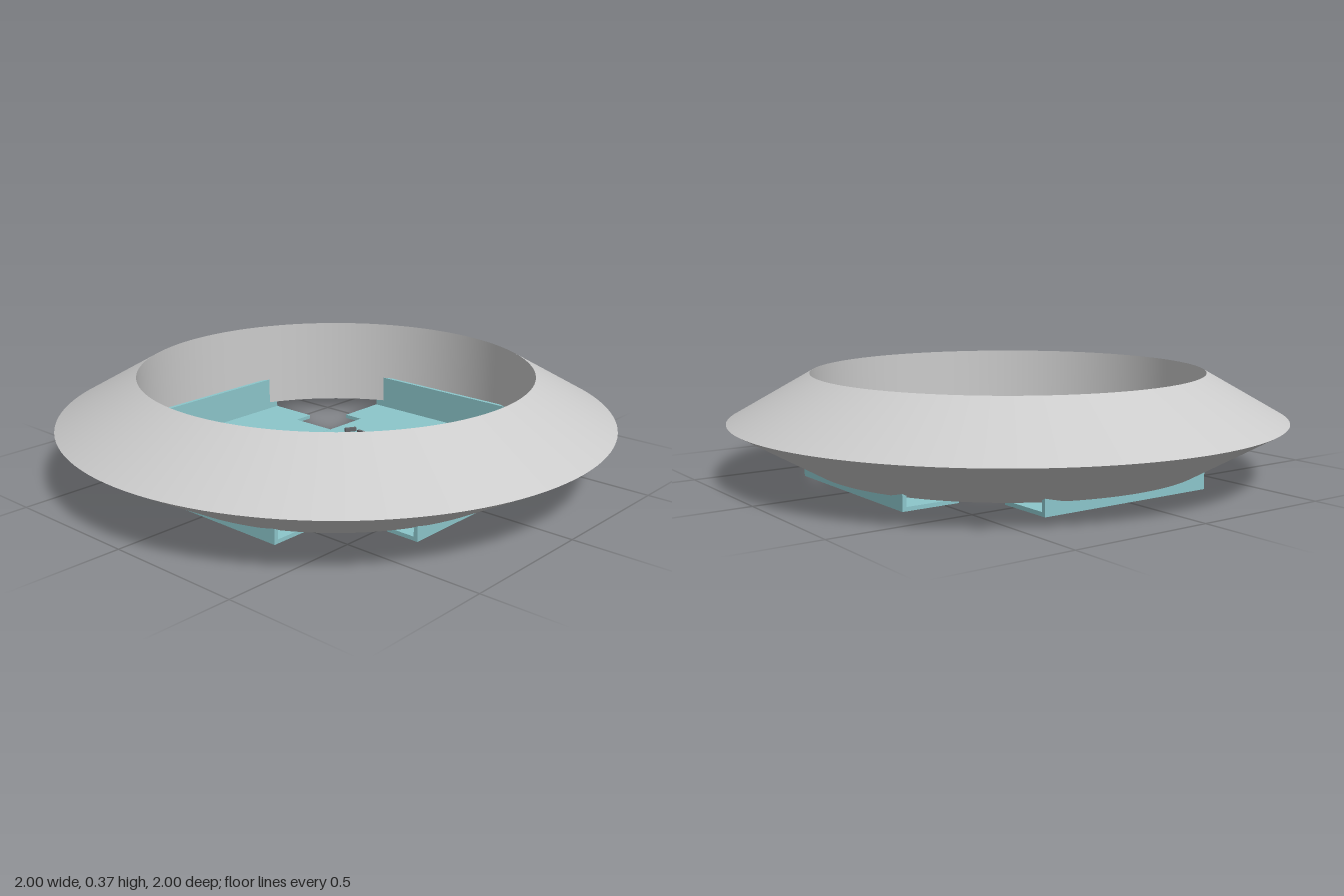
import * as THREE from 'three';

const mat = (color) => new THREE.MeshStandardMaterial({ color });
const GREY = mat(0xcccccc), TEAL = mat(0x8cc6cb), GOLD = mat(0xccb27e);
const GREEN = mat(0xa9c98f), DARK = mat(0x66666a), PINK = mat(0xd8a59c);
const ringMat = new THREE.MeshStandardMaterial({ color: 0xcccccc, side: THREE.DoubleSide });

const SLAB = 0.014; // floor thickness

function box(parent, name, material, [w, h, d], [x, y, z]) {
  const mesh = new THREE.Mesh(new THREE.BoxGeometry(w, h, d), material);
  mesh.name = name;
  mesh.position.set(x, y, z);
  parent.add(mesh);
  return mesh;
}

// Ring of triangular section; each face is its own lathe so the rims stay sharp
function createRing() {
  const ring = new THREE.Group();
  ring.name = 'outerRing';
  const corners = [[0.71, 0.04], [1, 0.205], [0.71, 0.37]];
  ['lowerCone', 'upperCone', 'innerWall'].forEach((name, i) => {
    const points = [corners[i], corners[(i + 1) % 3]].map(([r, y]) => new THREE.Vector2(r, y));
    const mesh = new THREE.Mesh(new THREE.LatheGeometry(points, 128), ringMat);
    mesh.name = name;
    ring.add(mesh);
  });
  return ring;
}

// T-shaped floor with an end wall and a low inner lip, built towards +z
function createBay(name, pronged) {
  const bay = new THREE.Group();
  bay.name = name;
  const half = pronged
    ? [[0.34, 0.655], [0.34, 0.445], [0.26, 0.445], [0.26, 0.132], [0.132, 0.132], [0.132, 0.265]]
    : [[0.34, 0.655], [0.34, 0.447], [0.26, 0.447], [0.26, 0.262]];
  const outline = [...half, ...half.map(([x, z]) => [-x, z]).reverse()];
  const shape = new THREE.Shape(outline.map(([x, z]) => new THREE.Vector2(x, z)));
  const geometry = new THREE.ExtrudeGeometry(shape, { depth: SLAB, bevelEnabled: false });
  geometry.rotateX(Math.PI / 2).translate(0, SLAB, 0);
  const floor = new THREE.Mesh(geometry, TEAL);
  floor.name = 'floor';
  bay.add(floor);
  box(bay, 'endWall', TEAL, [0.68, 0.128, 0.015], [0, 0.076, 0.6475]);
  box(bay, 'innerLip', TEAL, [0.25, 0.022, 0.015], [0, 0.024, 0.2785]);
  return bay;
}

// Cross of four arms with end pads around a square hub
function createCross() {
  const cross = new THREE.Group();
  cross.name = 'centreCross';
  box(cross, 'hub', GREEN, [0.13, 0.016, 0.13], [0, 0.015, 0]);
  for (let i = 0; i < 4; i++) {
    const arm = new THREE.Group();
    arm.name = 'arm';
    box(arm, 'armBeam', GOLD, [0.06, 0.014, 0.135], [0, 0.014, 0.1325]);
    box(arm, 'armPad', GOLD, [0.13, 0.016, 0.067], [0, 0.015, 0.2335]);
    arm.rotation.y = (i * Math.PI) / 2;
    cross.add(arm);
  }
  box(cross, 'hubPost', DARK, [0.02, 0.05, 0.02], [0, 0.046, 0]);
  return cross;
}

export function createModel() {
  const model = new THREE.Group();
  model.name = 'ringStation';
  model.add(createRing());

  const interior = new THREE.Group();
  interior.name = 'interior';
  interior.position.x = -0.005;
  ['frontBay', 'leftBay', 'backBay', 'rightBay'].forEach((name, i) => {
    const bay = createBay(name, i % 2 === 0);
    bay.rotation.y = (i * Math.PI) / 2;
    interior.add(bay);
  });
  interior.add(createCross());
  model.add(interior);

  // Small fittings on the front floor
  box(model, 'cabinet', DARK, [0.022, 0.052, 0.024], [-0.14, 0.04, 0.347]);
  box(model, 'tray', GREY, [0.07, 0.008, 0.042], [0.2, 0.018, 0.402]);
  for (let i = 0; i < 3; i++) {
    box(model, 'trayItem', PINK, [0.016, 0.005, 0.03], [0.178 + i * 0.022, 0.0245, 0.402]);
  }

  // Short rods hovering around the hub: x, z and heading
  const rods = [
    [-0.037, -0.122, 0.5 * Math.PI - 0.5], [0.022, -0.122, -0.1], [-0.14, 0.068, -1.1],
    [-0.08, 0.098, 0.4], [0.024, 0.165, Math.PI / 2],
  ];
  for (const [x, z, heading] of rods) {
    const rod = box(model, 'floatingRod', DARK, [0.044, 0.014, 0.012], [x, 0.1, z]);
    rod.rotation.y = heading;
  }
  return model;
}
